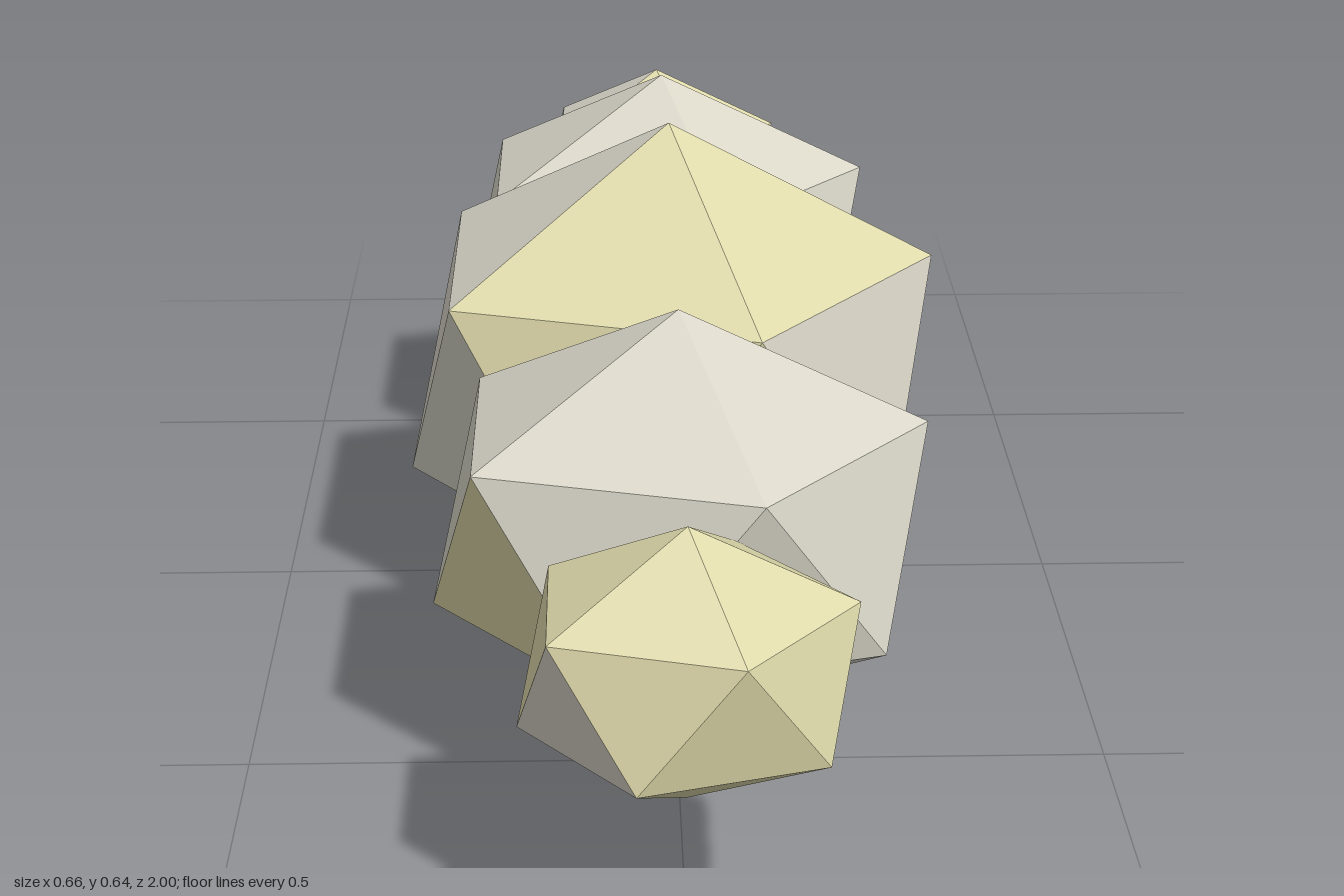
import * as THREE from 'three';

const cream = new THREE.MeshStandardMaterial({ color: 0xded9aa });
cream.name = 'cream';
const grey = new THREE.MeshStandardMaterial({ color: 0xd9d6c8 });
grey.name = 'paleGrey';
const brown = new THREE.MeshStandardMaterial({ color: 0x582c0a });
brown.name = 'darkBrown';

// Point on the upper or lower ring of a unit icosahedron standing on a corner
function ringPoint(k, upper) {
  const a = (k + (upper ? 0 : 0.5)) * Math.PI * 0.4;
  const r = 2 / Math.sqrt(5);
  return new THREE.Vector3(r * Math.cos(a), (upper ? 1 : -1) / Math.sqrt(5), -r * Math.sin(a));
}

// Faceted body segment. Each row of faces has five letters:
// c = cream, g = grey, s = split into a cream half and a grey half
function segment(name, z, size, cap, upPointing, downPointing, base) {
  const top = new THREE.Vector3(0, 1, 0);
  const bottom = new THREE.Vector3(0, -1, 0);
  const faces = { c: [], g: [] };
  const add = (colour, a, b, c) => {
    if (colour === 's') {
      const middle = b.clone().lerp(c, 0.5);
      faces.c.push(a, b, middle);
      faces.g.push(a, middle, c);
    } else {
      faces[colour].push(a, b, c);
    }
  };
  for (let k = 0; k < 5; k++) {
    const u = ringPoint(k, true), uNext = ringPoint(k + 1, true);
    const l = ringPoint(k, false), lNext = ringPoint(k + 1, false), lPrev = ringPoint(k - 1, false);
    add(cap[k], top, u, uNext);
    add(upPointing[k], u, lPrev, l);
    add(downPointing[k], uNext, u, l);
    add(base[k], bottom, lNext, l);
  }
  const geometry = new THREE.BufferGeometry().setFromPoints([...faces.c, ...faces.g]);
  geometry.addGroup(0, faces.c.length, 0);
  geometry.addGroup(faces.c.length, faces.g.length, 1);
  geometry.scale(...size);
  geometry.computeVertexNormals();
  const mesh = new THREE.Mesh(geometry, [cream, grey]);
  mesh.name = name;
  mesh.position.set(0, 0.3205, z);
  return mesh;
}

// Pointed horn from a base centre to a tip
function horn(name, from, to) {
  const start = new THREE.Vector3(...from);
  const axis = new THREE.Vector3(...to).sub(start);
  const length = axis.length();
  const geometry = new THREE.ConeGeometry(0.052, length, 8).toNonIndexed();
  geometry.translate(0, length / 2, 0);
  geometry.computeVertexNormals();
  const mesh = new THREE.Mesh(geometry, brown);
  mesh.name = name;
  mesh.position.copy(start);
  mesh.quaternion.setFromUnitVectors(new THREE.Vector3(0, 1, 0), axis.normalize());
  return mesh;
}

export function createModel() {
  const group = new THREE.Group();
  group.name = 'segmentedGrub';

  const small = [0.195, 0.155, 0.168];
  const medium = [0.312, 0.2465, 0.261];
  const large = [0.369, 0.3185, 0.34];

  // Body from the tail at the front to the head at the back
  group.add(
    segment('tail', 0.857, small, 'ccccc', 'cccgc', 'ccccc', 'ccgcc'),
    segment('rearBody', 0.5, medium, 'sgggg', 'gcgcg', 'ccggg', 'cccgc'),
    segment('middleBody', 0.054, large, 'csgcc', 'ggggc', 'gggcg', 'gcccc'),
    segment('frontBody', -0.39, medium, 'ccggg', 'gcgcg', 'gcggg', 'cccgc'),
    segment('head', -0.724, small, 'cggcc', 'gggcc', 'gggcc', 'ccccc')
  );

  // Horns
  group.add(
    horn('leftHorn', [0.095, 0.295, -0.8], [0.14, 0.26, -1]),
    horn('rightHorn', [-0.115, 0.295, -0.805], [-0.213, 0.26, -0.96])
  );
  return group;
}
